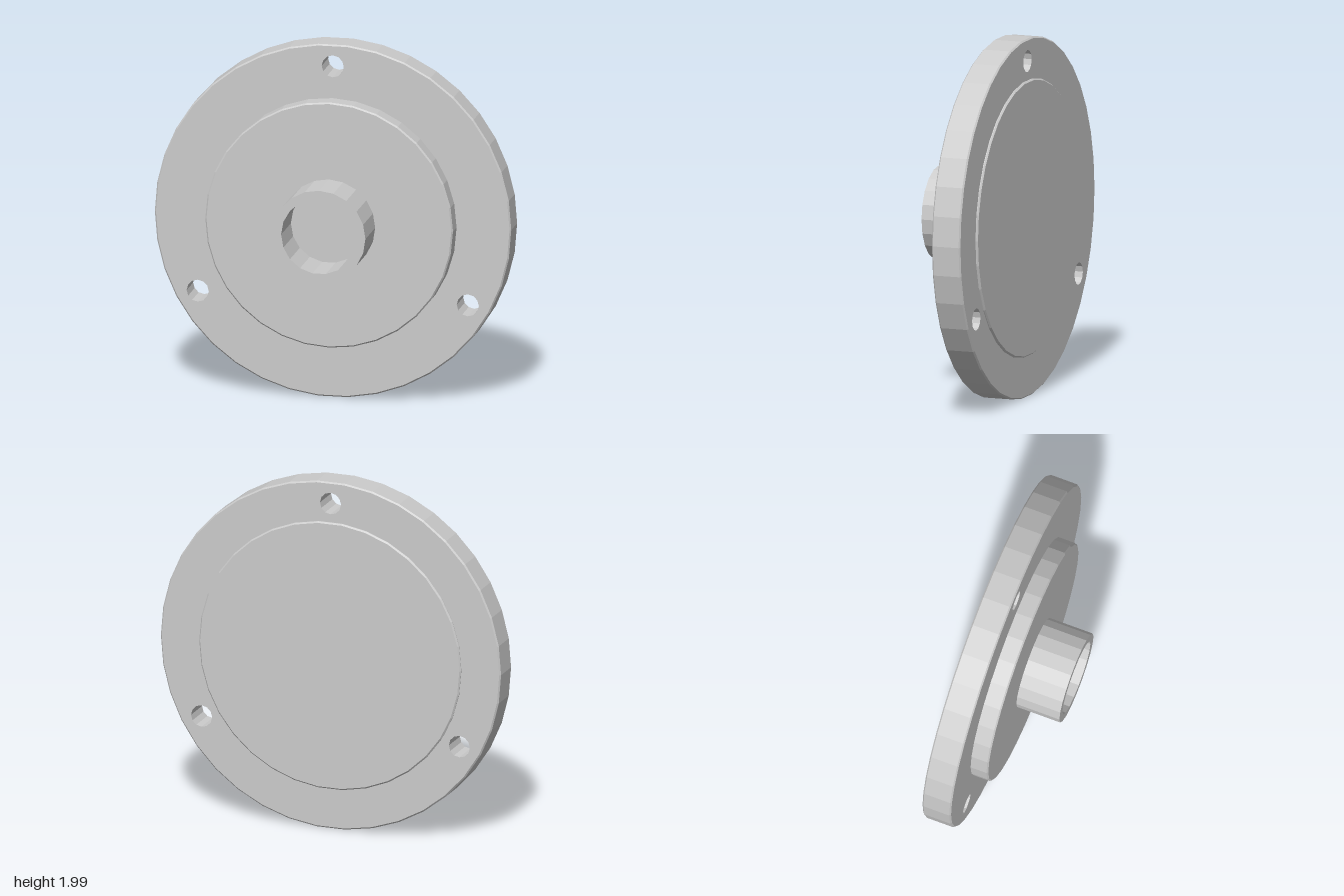
import * as THREE from 'three';

const material = new THREE.MeshStandardMaterial({ color: 0xcccccc, flatShading: true });

// Regular polygon with its first corner on +x
function ngon(r, n, cx = 0, cy = 0) {
  return Array.from({ length: n }, (_, i) => {
    const a = (i / n) * Math.PI * 2;
    return new THREE.Vector2(cx + r * Math.cos(a), cy + r * Math.sin(a));
  });
}

// Flat face with optional cut-outs, turned to -z when back is true
function face(name, outline, holes, z, back = false) {
  const shape = new THREE.Shape(outline);
  holes.forEach((h) => shape.holes.push(new THREE.Path(h)));
  const geo = new THREE.ShapeGeometry(shape);
  if (back) geo.scale(-1, 1, 1).rotateY(Math.PI).scale(1, 1, -1);
  if (back) {
    const idx = geo.index;
    for (let i = 0; i < idx.count; i += 3) {
      const b = idx.getX(i + 1);
      idx.setX(i + 1, idx.getX(i + 2));
      idx.setX(i + 2, b);
    }
    geo.computeVertexNormals();
  }
  geo.translate(0, 0, z);
  const mesh = new THREE.Mesh(geo, material);
  mesh.name = name;
  return mesh;
}

// Turned wall around z from [radius, z] pairs; rising z faces outward, falling z inward
function wall(name, profile, n, cx = 0, cy = 0) {
  const pts = profile.map(([r, z]) => new THREE.Vector2(r, z));
  const geo = new THREE.LatheGeometry(pts, n, Math.PI / 2);
  geo.rotateX(Math.PI / 2).translate(cx, cy, 0);
  const mesh = new THREE.Mesh(geo, material);
  mesh.name = name;
  return mesh;
}

export function createModel() {
  const model = new THREE.Group();
  model.name = 'flangedHub';

  const zPad = -0.267, zBack = -0.255, zFront = -0.087, zStep = 0.014, zHub = 0.267;
  const rFlange = 1, rStep = 0.695, rPad = 0.77, rHub = 0.26, rBore = 0.213;
  const nFlange = 38, nStep = 32, nPad = 34, nHub = 20, nBore = 18, nBolt = 12;
  const c = 0.008; // edge chamfer

  // Bolt hole centres
  const bolts = [90, 210, 330].map((d) => {
    const a = THREE.MathUtils.degToRad(d);
    return [0.875 * Math.cos(a), 0.875 * Math.sin(a)];
  });
  const boltCuts = bolts.map(([x, y]) => ngon(0.062, nBolt, x, y));

  // Flange with three bolt holes
  const flange = new THREE.Group();
  flange.name = 'flange';
  flange.add(
    wall('flangeRim', [[rFlange - c, zBack], [rFlange, zBack + c], [rFlange, zFront - c], [rFlange - c, zFront]], nFlange),
    face('flangeFront', ngon(rFlange - c, nFlange), [ngon(rStep, nStep), ...boltCuts], zFront),
    face('flangeBack', ngon(rFlange - c, nFlange), [ngon(rPad, nPad), ...boltCuts], zBack, true),
  );
  bolts.forEach(([x, y]) => flange.add(wall('boltHole', [[0.062, zFront], [0.062, zBack]], nBolt, x, y)));

  // Raised step on the front
  const step = new THREE.Group();
  step.name = 'frontStep';
  step.add(
    wall('stepRim', [[rStep, zFront], [rStep, zStep - c], [rStep - c, zStep]], nStep),
    face('stepFace', ngon(rStep - c, nStep), [ngon(rHub, nHub)], zStep),
  );

  // Shallow pad on the back
  const pad = new THREE.Group();
  pad.name = 'backPad';
  pad.add(
    wall('padRim', [[rPad - c, zPad], [rPad, zPad + c], [rPad, zBack]], nPad),
    face('padFace', ngon(rPad - c, nPad), [], zPad, true),
  );

  // Hollow hub with a closed floor
  const hub = new THREE.Group();
  hub.name = 'hub';
  hub.add(
    wall('hubOuterWall', [[rHub, zStep], [rHub, zHub]], nHub),
    face('hubEnd', ngon(rHub, nHub), [ngon(rBore, nBore)], zHub),
    wall('hubBore', [[rBore, zHub], [rBore, zStep]], nBore),
    face('boreFloor', ngon(rBore, nBore), [], zStep),
  );

  model.add(flange, step, pad, hub);
  // Lowest flat of the rim rests on the ground
  model.position.y = rFlange * Math.cos(Math.PI / nFlange);
  return model;
}
